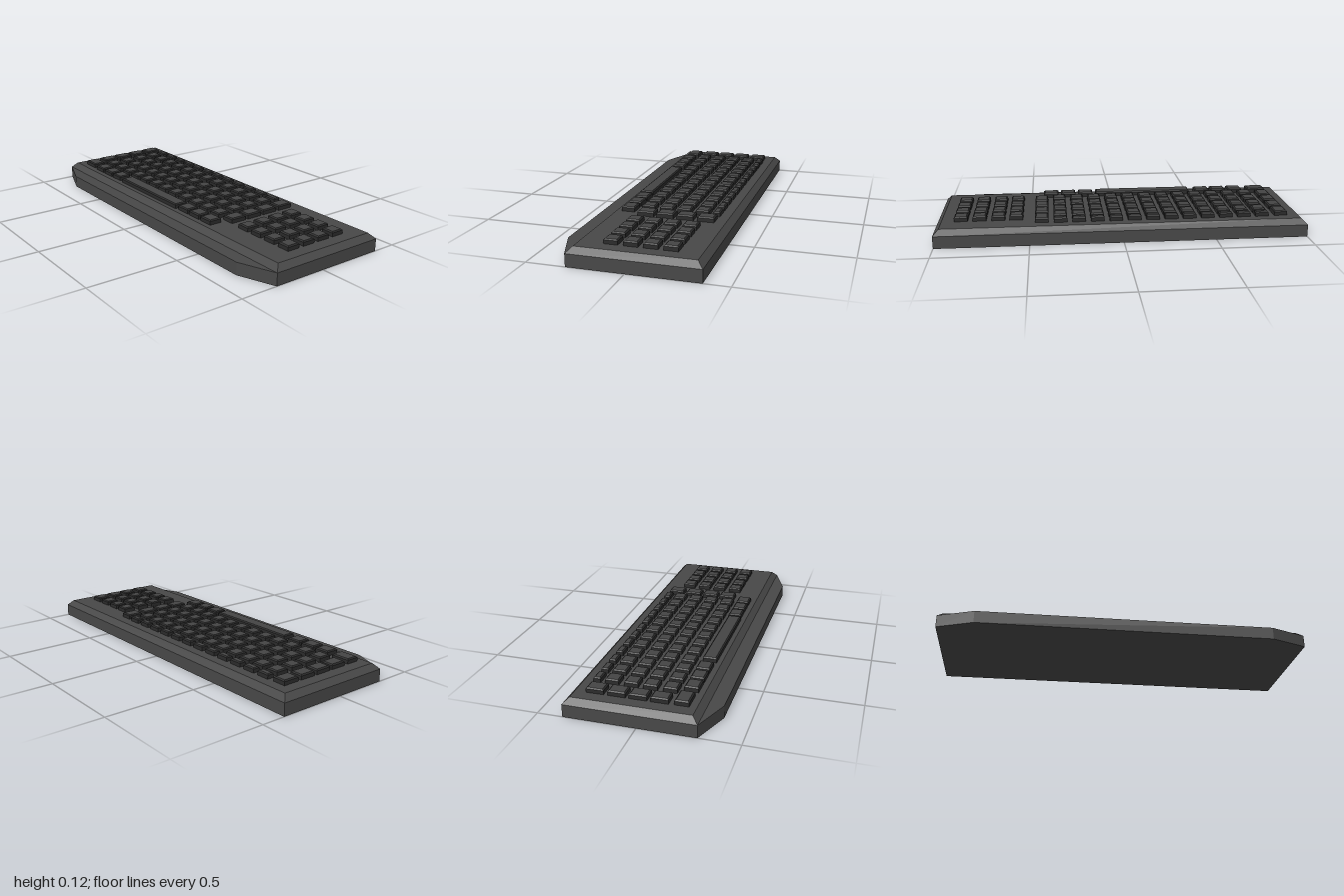
import * as THREE from 'three';

const caseMat = new THREE.MeshStandardMaterial({ name: 'case grey', color: 0x484848 });
const keyMat = new THREE.MeshStandardMaterial({ name: 'key dark grey', color: 0x2b2b2b });
const keyTopMat = new THREE.MeshStandardMaterial({ name: 'key top grey', color: 0x444444 });

// Rectangle corners, counter-clockwise seen from above, shrunk by an inset
const rect = (x0, x1, z0, z1, inset = 0) => [
  [x1 - inset, z1 - inset], [x1 - inset, z0 + inset],
  [x0 + inset, z0 + inset], [x0 + inset, z1 - inset],
];

// Flat-faced solid through stacked [y, outline] rings; group 0 = sides and base, group 1 = top
function loft(rings) {
  const pos = [];
  const pts = rings.map(([y, ring]) => ring.map(([x, z]) => [x, y, z]));
  const tri = (...corners) => corners.forEach((p) => pos.push(...p));
  const n = pts[0].length;
  for (let r = 0; r < pts.length - 1; r++) {
    for (let i = 0; i < n; i++) {
      const j = (i + 1) % n;
      tri(pts[r][i], pts[r][j], pts[r + 1][j]);
      tri(pts[r][i], pts[r + 1][j], pts[r + 1][i]);
    }
  }
  const base = pts[0], top = pts[pts.length - 1];
  for (let i = 1; i < n - 1; i++) tri(base[0], base[i + 1], base[i]);
  const sideCount = pos.length / 3;
  for (let i = 1; i < n - 1; i++) tri(top[0], top[i], top[i + 1]);
  const g = new THREE.BufferGeometry();
  g.setAttribute('position', new THREE.Float32BufferAttribute(pos, 3));
  g.computeVertexNormals();
  g.addGroup(0, sideCount, 0);
  g.addGroup(sideCount, pos.length / 3 - sideCount, 1);
  return g;
}

function addPart(parent, name, geometry, materials) {
  const mesh = new THREE.Mesh(geometry, materials);
  mesh.name = name;
  parent.add(mesh);
}

// Keycap with a chamfered rim, given by centre and size
function addKey(parent, name, x, z, w, d) {
  const b = [x - w / 2, x + w / 2, z - d / 2, z + d / 2];
  addPart(parent, name, loft([
    [0.096, rect(...b)], [0.117, rect(...b)], [0.123, rect(...b, 0.007)],
  ]), [keyMat, keyTopMat]);
}

export function createModel() {
  const model = new THREE.Group();
  model.name = 'keyboard';

  // Case with bevelled top edge
  const c = [-0.295, 0.37, -1, 1];
  addPart(model, 'case', loft([
    [0, rect(...c)], [0.067, rect(...c)], [0.097, rect(...c, 0.03)],
  ]), [caseMat, caseMat]);

  // Low palm rest with angled ends
  const rest = [[-0.295, 1], [-0.295, -1], [-0.37, -0.8], [-0.37, 0.8]];
  addPart(model, 'palmRest', loft([[0, rest], [0.067, rest]]), [caseMat, caseMat]);

  const keys = new THREE.Group();
  keys.name = 'keys';
  model.add(keys);
  const columns = [-0.104, -0.004, 0.094, 0.193];
  const size = 0.072;

  // Main key block, with a narrow function key at the end of each line
  for (let i = 0; i < 12; i++) {
    const z = -0.766 + i * 0.1;
    columns.forEach((x) => addKey(keys, 'mainKey', x, z, size, size));
    addKey(keys, 'functionKey', 0.27, z, 0.038, size);
  }

  // Wide keys closing both ends of the block
  for (const z of [-0.872, 0.434]) {
    [-0.085, 0.021, 0.128, 0.238].forEach((x) => addKey(keys, 'wideKey', x, z, 0.09, size));
  }

  // Number pad
  for (const z of [0.571, 0.667, 0.767, 0.866]) {
    columns.forEach((x) => addKey(keys, 'numberPadKey', x, z, size, size));
  }

  // Space bar line
  addKey(keys, 'cornerKey', -0.193, -0.853, 0.072, 0.104);
  for (const z of [-0.724, -0.623, -0.523, 0.178, 0.279, 0.379]) {
    addKey(keys, 'modifierKey', -0.199, z, size, 0.084);
  }
  addKey(keys, 'spaceBar', -0.203, -0.164, 0.074, 0.56);

  return model;
}
